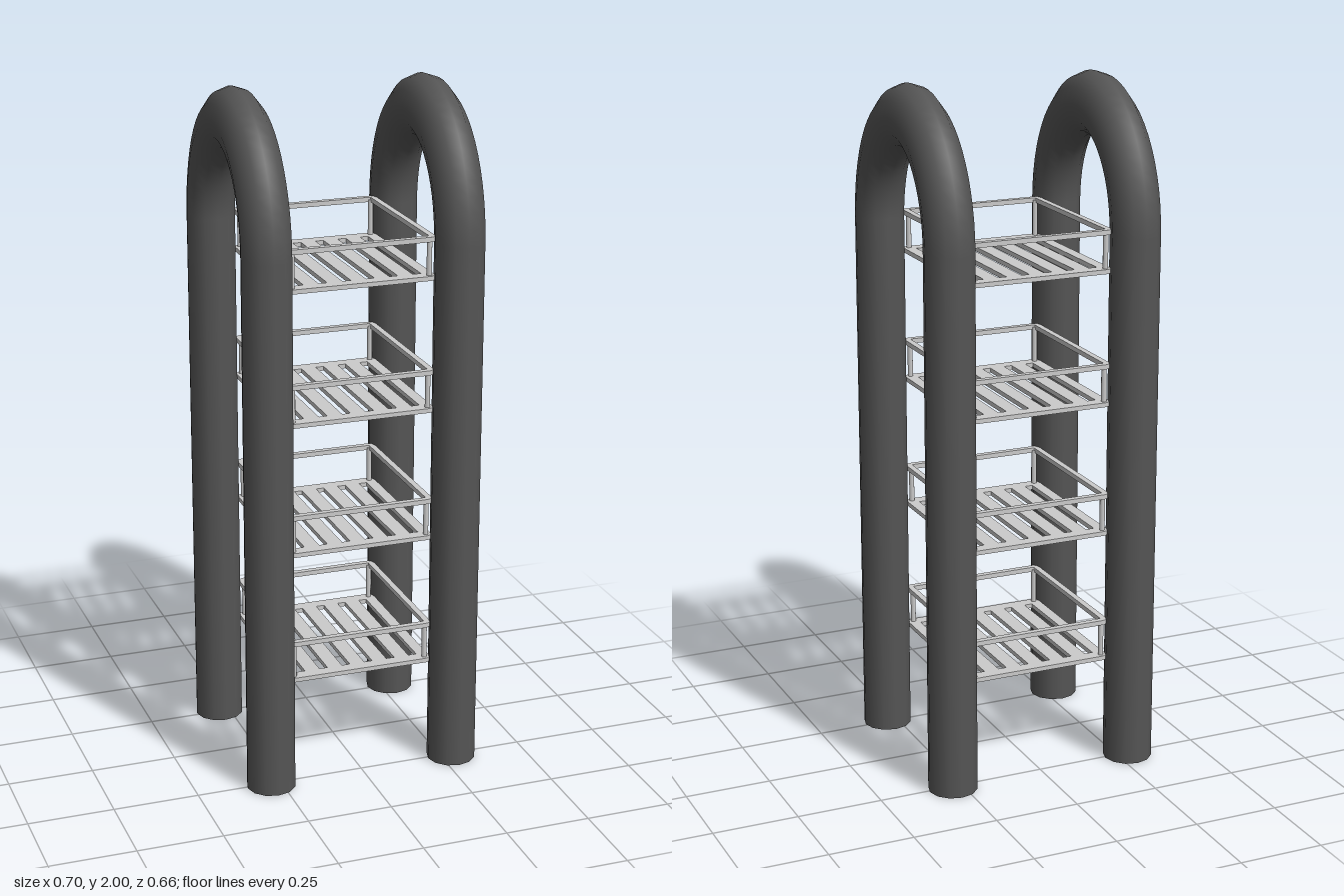
import * as THREE from 'three';

const dark = new THREE.MeshStandardMaterial({ color: 0x555555 });
const grey = new THREE.MeshStandardMaterial({ color: 0xcccccc });

function add(parent, name, geometry, material, x = 0, y = 0, z = 0) {
  const mesh = new THREE.Mesh(geometry, material);
  mesh.name = name;
  mesh.position.set(x, y, z);
  parent.add(mesh);
  return mesh;
}

// Rectangle with rounded corners, centred on the origin
function roundedRect(path, w, d, r) {
  const x = w / 2, y = d / 2;
  path.absarc(x - r, y - r, r, 0, Math.PI / 2);
  path.absarc(-x + r, y - r, r, Math.PI / 2, Math.PI);
  path.absarc(-x + r, -y + r, r, Math.PI, Math.PI * 1.5);
  path.absarc(x - r, -y + r, r, Math.PI * 1.5, Math.PI * 2);
  path.closePath();
  return path;
}

// Flat extrusion lying in the xz plane with its underside at y = 0
function slab(shape, height) {
  return new THREE.ExtrudeGeometry(shape, { depth: height, bevelEnabled: false, curveSegments: 4 })
    .rotateX(-Math.PI / 2);
}

// Inverted U tube: two straight legs and a stretched half-ring on top
function createSideFrame(x) {
  const frame = new THREE.Group();
  frame.name = 'sideFrame';
  frame.position.x = x;
  const r = 0.0715, R = 0.2575, springY = 1.58;
  const leg = new THREE.CylinderGeometry(r, r, springY, 12);
  add(frame, 'frontLeg', leg, dark, 0, springY / 2, R);
  add(frame, 'backLeg', leg, dark, 0, springY / 2, -R);
  const arch = new THREE.TorusGeometry(R, r, 12, 28, Math.PI)
    .rotateY(Math.PI / 2)
    .scale(1, (2 - springY) / (R + r), 1);
  add(frame, 'arch', arch, dark, 0, springY, 0);
  return frame;
}

// Slotted tray with a guard rail on four posts
function createShelf(y) {
  const shelf = new THREE.Group();
  shelf.name = 'shelf';
  shelf.position.y = y;
  const w = 0.436, d = 0.5, bar = 0.018;

  const plate = roundedRect(new THREE.Shape(), w, d, 0.02);
  for (let i = 0; i < 6; i++) {
    const x = (i - 2.5) * 0.0692;
    plate.holes.push(new THREE.Path([
      new THREE.Vector2(x - 0.0125, -0.212), new THREE.Vector2(x - 0.0125, 0.212),
      new THREE.Vector2(x + 0.0125, 0.212), new THREE.Vector2(x + 0.0125, -0.212),
    ]));
  }
  add(shelf, 'slottedPlate', slab(plate, 0.013), grey);

  const ring = roundedRect(new THREE.Shape(), w, d, 0.02);
  ring.holes.push(roundedRect(new THREE.Path(), w - 2 * bar, d - 2 * bar, 0.003));
  add(shelf, 'guardRail', slab(ring, 0.014), grey, 0, 0.111, 0);

  const post = new THREE.CylinderGeometry(0.008, 0.008, 0.112, 8);
  for (const sx of [-1, 1]) for (const sz of [-1, 1]) {
    add(shelf, 'cornerPost', post, grey, sx * 0.201, 0.062, sz * 0.234);
  }
  return shelf;
}

export function createModel() {
  const model = new THREE.Group();
  model.name = 'shelfTower';
  for (const side of [-1, 1]) model.add(createSideFrame(side * 0.281));
  for (let i = 0; i < 4; i++) model.add(createShelf(0.311 + i * 0.387));
  return model;
}
